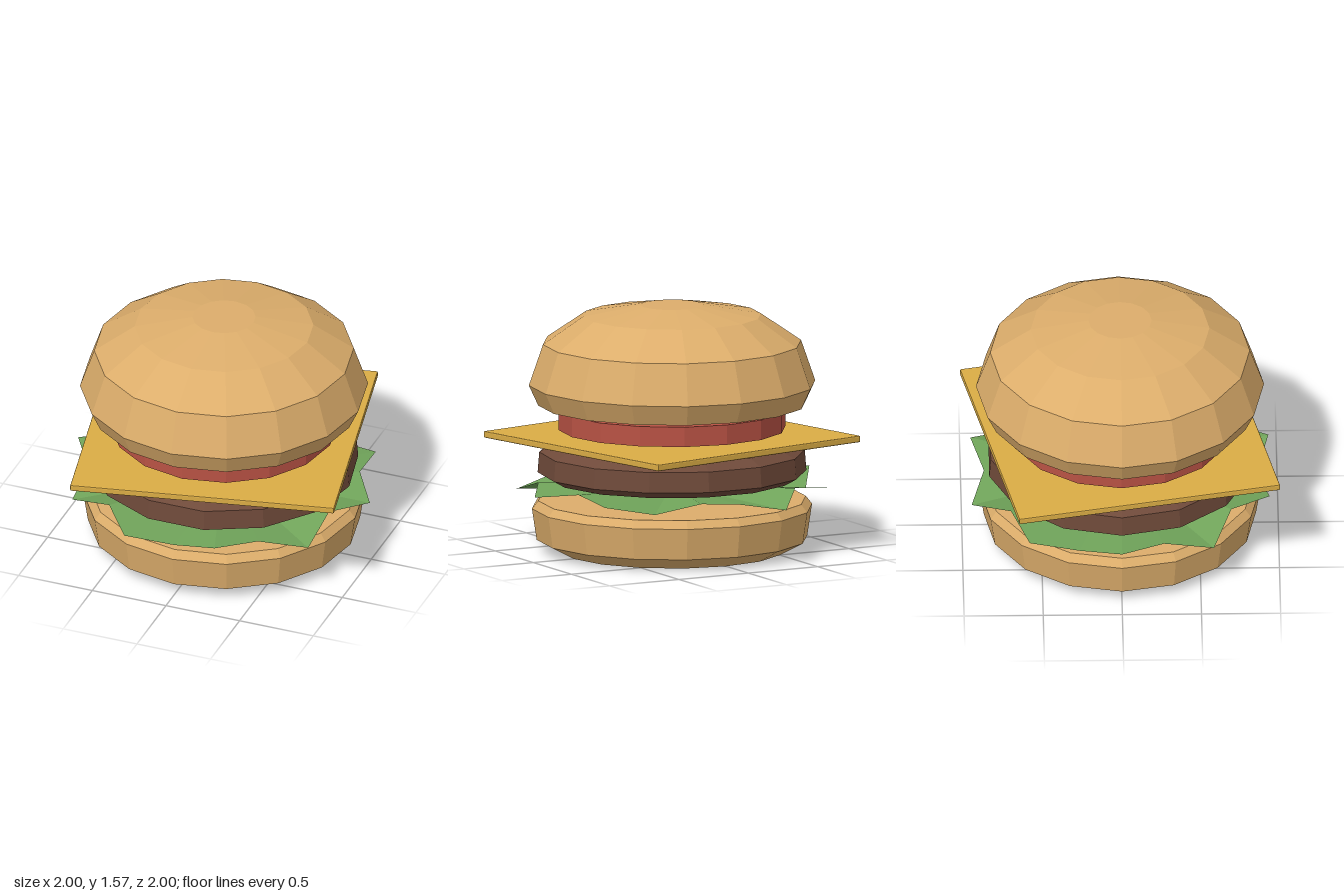
import * as THREE from 'three';
import { RoundedBoxGeometry } from 'three/addons/geometries/RoundedBoxGeometry.js';

function material(name, color, extra = {}) {
  const m = new THREE.MeshStandardMaterial({ color, ...extra });
  m.name = name;
  return m;
}

// Unshared vertices give every facet its own normal
function faceted(geometry) {
  const g = geometry.index ? geometry.toNonIndexed() : geometry;
  g.computeVertexNormals();
  return g;
}

// Closed turned solid from [radius, height] pairs, bottom to top
function turned(profile, sides) {
  const points = [[0, profile[0][1]], ...profile, [0, profile[profile.length - 1][1]]];
  return faceted(new THREE.LatheGeometry(points.map(([r, y]) => new THREE.Vector2(r, y)), sides));
}

// Wavy leaf: a fan whose rim alternates tip and notch, with a rolling height
function leafGeometry(tips, y, wave) {
  const n = tips * 2;
  const positions = [];
  const rim = (i) => {
    const k = i % n;
    const a = (k / n) * Math.PI * 2;
    const r = k % 2 ? 0.86 : 0.99;
    return [Math.cos(a) * r, y + wave * Math.sin(k * 2.1), Math.sin(a) * r];
  };
  for (let i = 0; i < n; i++) positions.push(0, y, 0, ...rim(i + 1), ...rim(i));
  const g = new THREE.BufferGeometry();
  g.setAttribute('position', new THREE.Float32BufferAttribute(positions, 3));
  return faceted(g);
}

export function createModel() {
  const model = new THREE.Group();
  model.name = 'burger';

  const bun = material('bun', 0xdcad6b);
  const leaf = material('lettuce green', 0x70a45a, { side: THREE.DoubleSide });
  const meat = material('meat brown', 0x6f4a3a);
  const char = material('char', 0x3a251d);
  const cheese = material('cheese yellow', 0xdaac45);
  const red = material('tomato red', 0xb85244);
  const seed = material('tomato seed', 0xd0a048);

  const add = (name, geometry, mat, parent = model) => {
    const mesh = new THREE.Mesh(geometry, mat);
    mesh.name = name;
    parent.add(mesh);
    return mesh;
  };

  // Buns
  add('bottomBun', turned([[0.71, 0], [0.86, 0.08], [0.89, 0.28], [0.85, 0.33]], 16), bun);
  add('topBun', turned([[0.85, 0.94], [0.91, 1.07], [0.82, 1.33], [0.565, 1.505], [0.2, 1.57]], 16), bun);

  // Lettuce
  add('lettuce', leafGeometry(10, 0.415, 0.052), leaf);

  // Patty with grill marks on top
  const patty = turned([[0.77, 0.46], [0.85, 0.505], [0.84, 0.635], [0.75, 0.68]], 14);
  add('patty', patty, meat).rotation.y = Math.PI / 2;
  const marks = new THREE.Group();
  marks.name = 'grillMarks';
  marks.rotation.y = 0.3;
  model.add(marks);
  for (const z of [-0.35, 0, 0.35]) {
    add('grillMark', new THREE.BoxGeometry(1.1, 0.009, 0.06), char, marks).position.set(0, 0.6845, z);
  }

  // Cheese slice, turned against the rest
  const slice = add('cheese', faceted(new RoundedBoxGeometry(1.69, 0.042, 1.69, 1, 0.008)), cheese);
  slice.position.y = 0.725;
  slice.rotation.y = 0.21;

  // Tomato slice with a ring of seed pockets
  add('tomato', turned([[0.72, 0.78], [0.72, 0.907]], 16), red);
  for (let i = 0; i < 6; i++) {
    const a = (i / 6) * Math.PI * 2;
    const pocket = add('seedPocket', faceted(new THREE.CylinderGeometry(0.112, 0.112, 0.009, 8)), seed);
    pocket.position.set(Math.cos(a) * 0.38, 0.9115, Math.sin(a) * 0.38);
  }

  return model;
}
